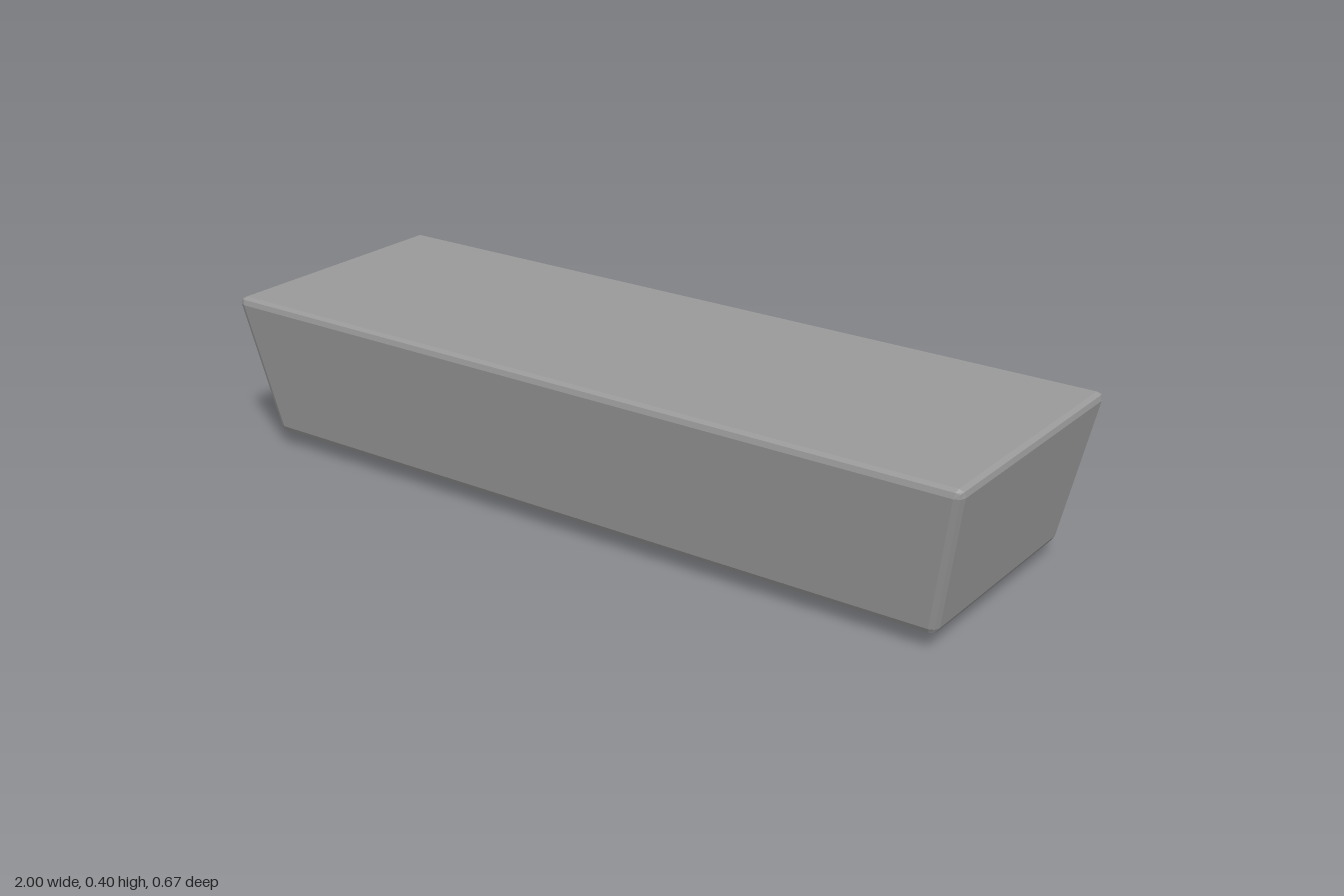
import * as THREE from 'three';
import { RoundedBoxGeometry } from 'three/addons/geometries/RoundedBoxGeometry.js';

// Bevelled box whose four sides lean inward towards the bottom
function taperedBox(width, height, depth, bevel, slopeX, slopeZ) {
  const geometry = new RoundedBoxGeometry(width, height, depth, 1, bevel);
  const position = geometry.attributes.position;
  const rim = height / 2 - bevel;
  for (let i = 0; i < position.count; i++) {
    const x = position.getX(i), z = position.getZ(i);
    const drop = rim - position.getY(i);
    position.setX(i, x - Math.sign(x) * slopeX * drop);
    position.setZ(i, z - Math.sign(z) * slopeZ * drop);
  }
  geometry.computeVertexNormals();
  return geometry;
}

export function createModel() {
  const group = new THREE.Group();

  // Tapered block with faceted bevels along its edges
  const bodyMaterial = new THREE.MeshStandardMaterial({ color: 0x999999, flatShading: true });
  const body = new THREE.Mesh(taperedBox(1.998, 0.36, 0.668, 0.018, 0.19, 0.145), bodyMaterial);
  body.name = 'body';
  body.position.y = 0.218;
  group.add(body);

  // Recessed wooden plinth
  const baseMaterial = new THREE.MeshStandardMaterial({ color: 0x53331a });
  const base = new THREE.Mesh(new THREE.BoxGeometry(1.77, 0.045, 0.394), baseMaterial);
  base.name = 'base';
  base.position.y = 0.0225;
  group.add(base);

  return group;
}
